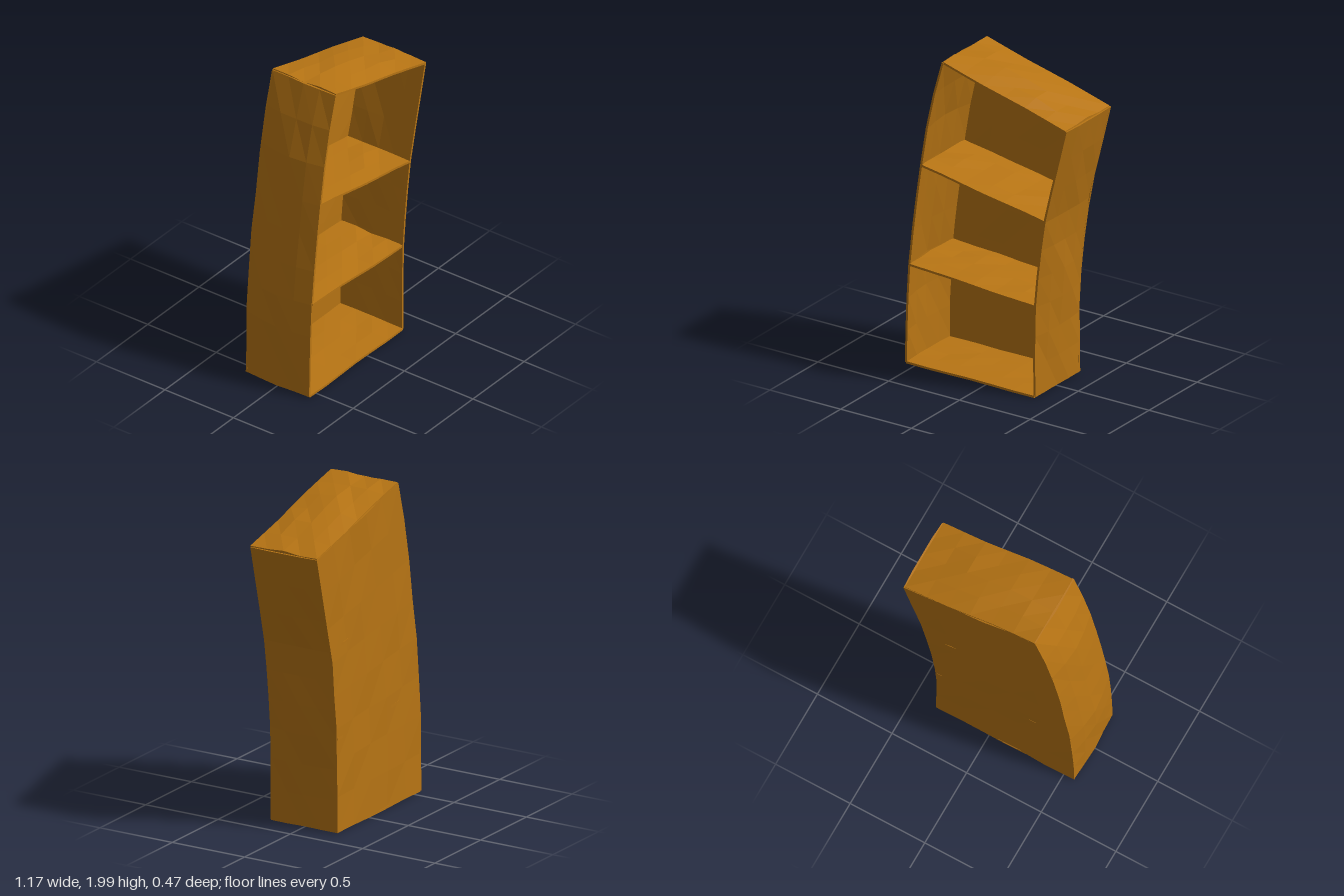
import * as THREE from 'three';

const DEPTH = 0.23;
const THICK = 0.014;
const material = new THREE.MeshStandardMaterial({ color: 0xb87514, flatShading: true, roughness: 0.9 });

// Side profiles seen from the front: x, y and the outward bulge at mid depth
const curve = (points) => new THREE.CatmullRomCurve3(points.map((p) => new THREE.Vector3(...p)));
const leaningOut = curve([
  [-0.562, 0.012, 0.01], [-0.555, 0.32, 0.025], [-0.538, 0.64, 0.036], [-0.5, 0.97, 0.026],
  [-0.455, 1.29, 0.03], [-0.39, 1.66, 0.028], [-0.303, 1.98, 0.004],
]);
const leaningIn = curve([
  [0.346, 0.012, 0.004], [0.345, 0.3, 0.012], [0.35, 0.585, 0.034], [0.378, 0.86, 0.02],
  [0.417, 1.14, 0.006], [0.49, 1.44, 0.012], [0.567, 1.752, 0.006],
]);

// Uneven, hand-hewn surface
const wobble = (a, b, seed) =>
  0.5 * (Math.sin(a * 17 + seed * 2.3 + b * 5) + Math.sin(b * 11 - a * 9 + seed * 4.1));
const bulgeAt = (v) => Math.sin(Math.PI * v);

// A thin board: a subdivided box bent by map(u, v, w), w being the offset across its thickness
function board(name, nu, nv, map) {
  const geometry = new THREE.BoxGeometry(1, 1, 1, nu, nv, 1);
  const p = geometry.attributes.position;
  for (let i = 0; i < p.count; i++) {
    const [x, y, z] = map(p.getX(i) + 0.5, p.getY(i) + 0.5, p.getZ(i) * THICK);
    p.setXYZ(i, x, y, z);
  }
  geometry.computeVertexNormals();
  const mesh = new THREE.Mesh(geometry, material);
  mesh.name = name;
  return mesh;
}

// Upright side board, side = -1 or +1 along x
function sideBoard(name, profile, side) {
  return board(name, 9, 4, (u, v, w) => {
    const c = profile.getPoint(u);
    const out = c.z * bulgeAt(v) + 0.005 * wobble(u * 2, v, side) * bulgeAt(v) + w;
    return [c.x + side * out, c.y, side * (v - 0.5) * 2 * DEPTH];
  });
}

// Cross board between the two sides at height fraction t
function crossBoard(name, t, bulge, rough) {
  const a = leaningOut.getPoint(t), b = leaningIn.getPoint(t);
  return board(name, 6, 4, (u, v, w) => {
    const lift = bulge * bulgeAt(u) * bulgeAt(v) + rough * wobble(u, v, t * 6) * bulgeAt(v);
    const z = (0.5 - v) * 2 * DEPTH + 0.004 * Math.sin(u * 9 + t * 5);
    return [THREE.MathUtils.lerp(a.x, b.x, u), THREE.MathUtils.lerp(a.y, b.y, u) + lift + w, z];
  });
}

export function createModel() {
  const group = new THREE.Group();
  group.name = 'crookedBookcase';

  group.add(sideBoard('rightSide', leaningOut, -1), sideBoard('leftSide', leaningIn, 1));

  // Bottom, two shelves and top
  group.add(
    crossBoard('bottomBoard', 0, 0.004, 0.004),
    crossBoard('lowerShelf', 1 / 3, 0.008, 0.008),
    crossBoard('upperShelf', 2 / 3, 0.008, 0.008),
    crossBoard('topBoard', 1, 0.03, 0.01),
  );

  // Back board following both leaning sides
  group.add(board('backBoard', 5, 8, (u, v, w) => {
    const a = leaningOut.getPoint(v), b = leaningIn.getPoint(v);
    return [
      THREE.MathUtils.lerp(a.x - 0.008, b.x + 0.008, u),
      THREE.MathUtils.lerp(a.y, b.y, u),
      -0.226 + 0.005 * wobble(u, v * 2, 3) + w,
    ];
  }));
  return group;
}
